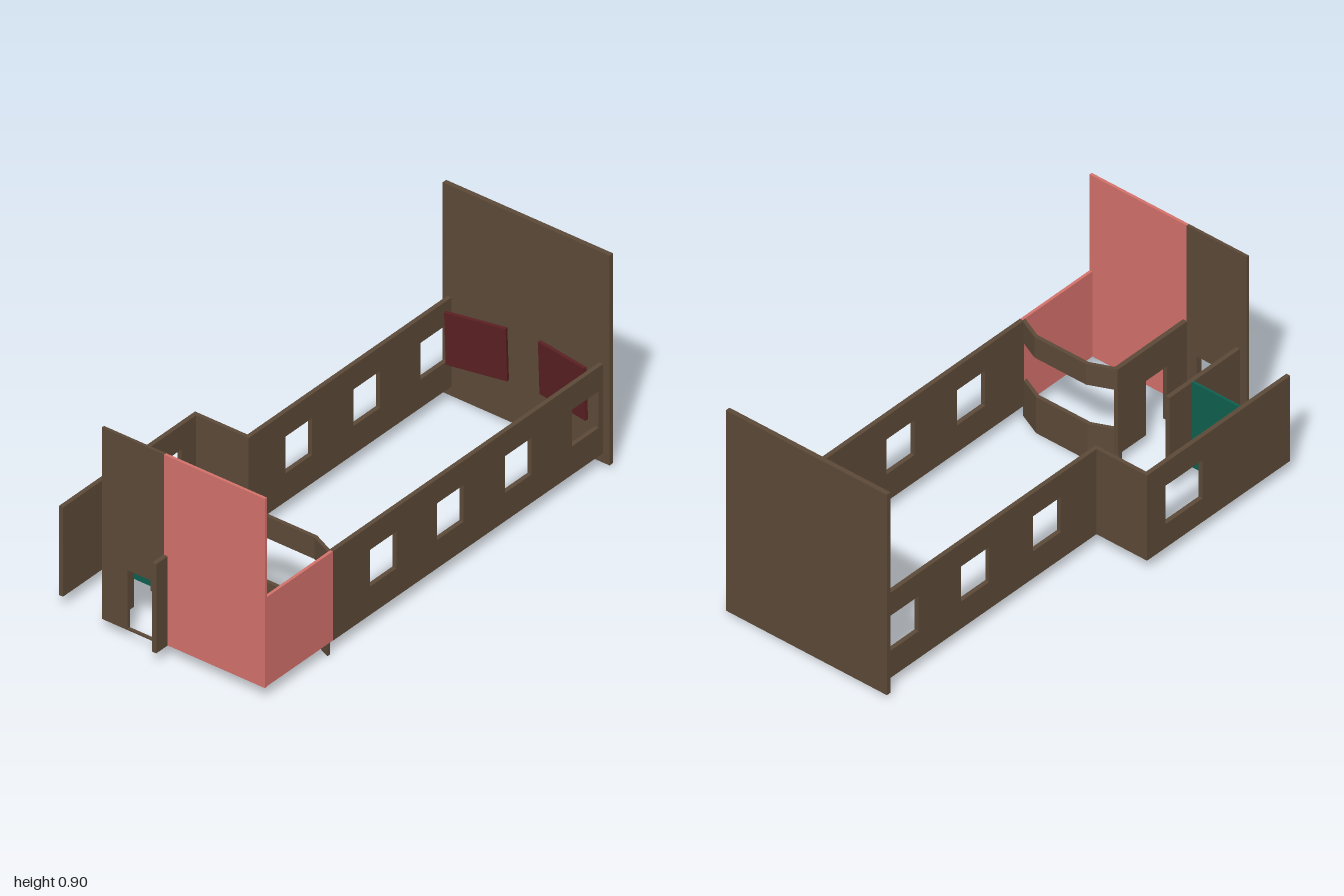
import * as THREE from 'three';

const paint = (name, color) => {
  const m = new THREE.MeshStandardMaterial({ color });
  m.name = name;
  return m;
};

export function createModel() {
  const model = new THREE.Group();
  model.name = 'buildingWalls';
  const brown = paint('brown', 0x5c4a38);
  const coral = paint('coral', 0xd4716b);
  const teal = paint('teal', 0x0f5f4f);
  const maroon = paint('maroon', 0x5a2022);
  const LOW = 0.055, TOP = 0.432;

  // Upright wall between plan points [x, z]; openings are [start, end, bottom, top]
  // measured along the wall. Openings reaching the base become notches.
  function wall(name, mat, a, b, y0, y1, t, openings = []) {
    const dx = b[0] - a[0], dz = b[1] - a[1], len = Math.hypot(dx, dz);
    const shape = new THREE.Shape();
    shape.moveTo(0, y0);
    for (const [s, e, lo, hi] of openings) {
      if (lo > y0) continue;
      shape.lineTo(s, y0).lineTo(s, hi).lineTo(e, hi).lineTo(e, y0);
    }
    shape.lineTo(len, y0).lineTo(len, y1).lineTo(0, y1).closePath();
    for (const [s, e, lo, hi] of openings) {
      if (lo <= y0) continue;
      const hole = new THREE.Path();
      hole.moveTo(s, lo).lineTo(s, hi).lineTo(e, hi).lineTo(e, lo).closePath();
      shape.holes.push(hole);
    }
    const geo = new THREE.ExtrudeGeometry(shape, { depth: t, bevelEnabled: false });
    geo.translate(0, 0, -t / 2);
    const mesh = new THREE.Mesh(geo, mat);
    mesh.name = name;
    mesh.position.set(a[0], 0, a[1]);
    mesh.rotation.y = -Math.atan2(dz, dx);
    model.add(mesh);
    return mesh;
  }

  // Long side walls with rows of windows
  const back = -0.98;
  const windows = (zs) => zs.map((z) => [z - back, z + 0.15 - back, 0.175, 0.33]);
  const rows = [-0.955, -0.575, -0.19];
  wall('leftLongWall', brown, [0.444, back], [0.444, 0.548], LOW, TOP, 0.018, windows([...rows, 0.19]));
  wall('rightLongWall', brown, [-0.239, back], [-0.239, 0.168], LOW, TOP, 0.018, windows(rows));

  // Tall back wall
  wall('backWall', brown, [-0.27, -0.99], [0.482, -0.99], 0.015, 0.902, 0.02);

  // Side bay
  wall('bayBackWall', brown, [-0.484, 0.16], [-0.23, 0.16], LOW, TOP, 0.016);
  wall('bayOuterWall', brown, [-0.475, 0.153], [-0.475, 0.922], LOW, TOP, 0.018,
    [[0.097, 0.297, 0.16, 0.33]]);
  wall('bayInnerWall', brown, [-0.239, 0.545], [-0.239, 0.925], LOW, TOP, 0.018,
    [[0.155, 0.27, LOW, 0.295]]);
  wall('bayPartition', teal, [-0.466, 0.672], [-0.248, 0.672], LOW, TOP, 0.01);

  // Front wall with doorway, and coral corner room
  wall('frontDoorWall', brown, [-0.28, 0.929], [0, 0.929], 0.045, 0.855, 0.012,
    [[0.116, 0.234, 0.052, 0.298]]);
  wall('frontPanel', coral, [0, 0.929], [0.454, 0.929], LOW, 0.855, 0.012);
  wall('cornerSidePanel', coral, [0.446, 0.548], [0.446, 0.923], LOW, TOP, 0.012);
  wall('roomDividerWall', brown, [0.007, 0.55], [0.007, 1], LOW, TOP, 0.019,
    [[0.15, 0.265, LOW, 0.295]]);

  // Angled counter: a lower band and an upper fascia
  function band(name, y0, y1, dz) {
    const line = [[0, 0.562], [0.105, 0.515], [0.345, 0.515], [0.448, 0.562]];
    const t = 0.008;
    const ring = [...line.map(([x, z]) => [x, z + t]), ...line.slice().reverse().map(([x, z]) => [x, z - t])];
    const shape = new THREE.Shape(ring.map(([x, z]) => new THREE.Vector2(x, -z - dz)));
    const geo = new THREE.ExtrudeGeometry(shape, { depth: y1 - y0, bevelEnabled: false });
    geo.rotateX(-Math.PI / 2).translate(0, y0, 0);
    const mesh = new THREE.Mesh(geo, brown);
    mesh.name = name;
    model.add(mesh);
  }
  band('counterBase', 0, 0.16, 0.004);
  band('counterFascia', 0.34, TOP - 0.001, -0.005);

  // Angled hanging boards in front of the back wall
  for (const [name, a, b] of [
    ['rightBoard', [-0.2, -0.91], [0.038, -0.959]],
    ['leftBoard', [0.178, -0.969], [0.41, -0.936]],
  ]) {
    const dx = b[0] - a[0], dz = b[1] - a[1];
    const board = new THREE.Mesh(new THREE.BoxGeometry(Math.hypot(dx, dz), 0.225, 0.014), maroon);
    board.name = name;
    board.position.set((a[0] + b[0]) / 2, 0.311, (a[1] + b[1]) / 2);
    board.rotation.set(0.04, -Math.atan2(dz, dx), 0);
    model.add(board);
  }

  return model;
}
